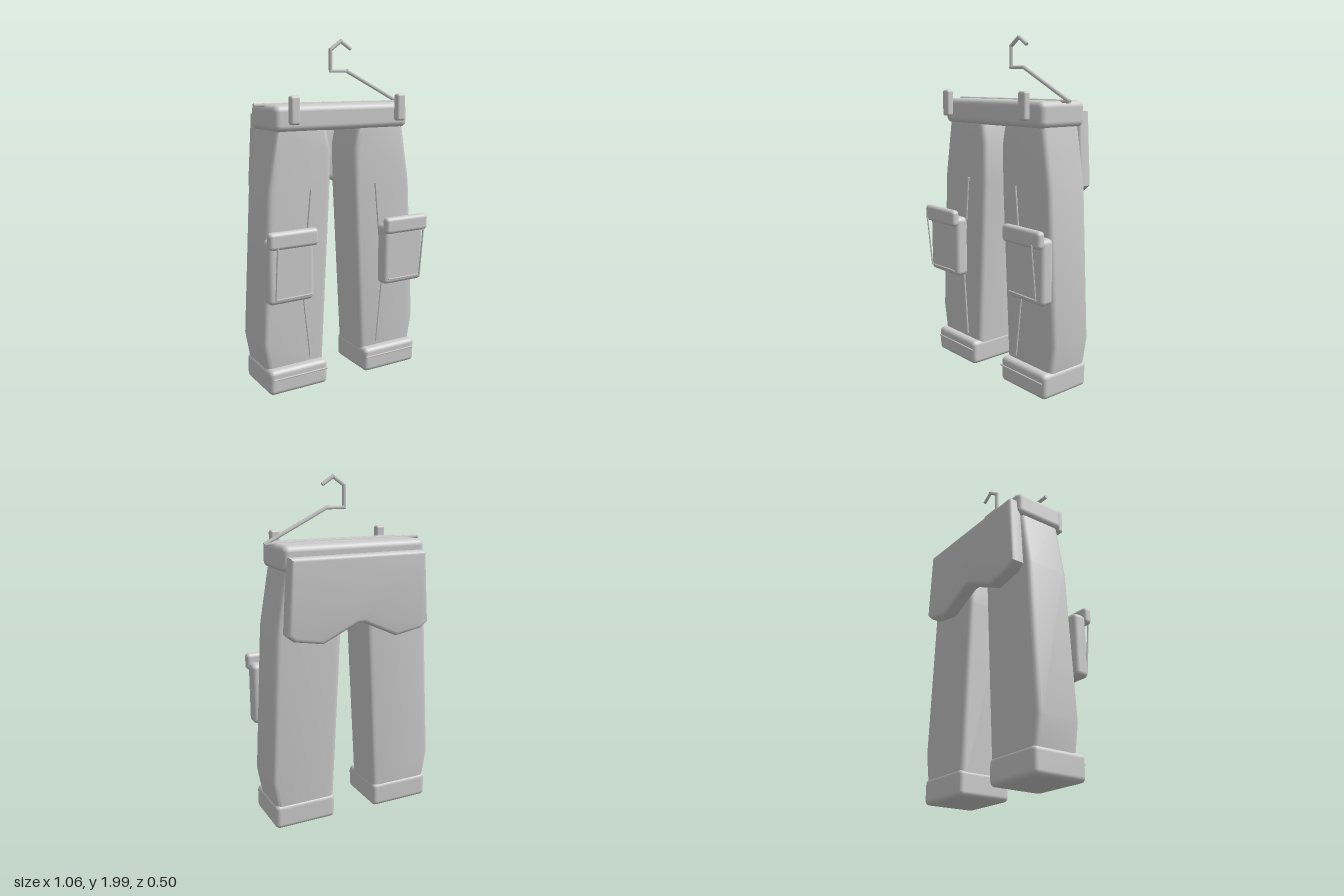
import * as THREE from 'three';
import { toCreasedNormals } from 'three/addons/utils/BufferGeometryUtils.js';
import { RoundedBoxGeometry } from 'three/addons/geometries/RoundedBoxGeometry.js';

const cloth = new THREE.MeshStandardMaterial({ color: 0xcccccc });
cloth.name = 'light grey cloth';

function add(parent, name, geometry) {
  const mesh = new THREE.Mesh(geometry, cloth);
  mesh.name = name;
  parent.add(mesh);
  return mesh;
}

// Rounded box given by its extents on each axis
function block(parent, name, [x0, x1], [y0, y1], [z0, z1], radius) {
  const g = new RoundedBoxGeometry(Math.abs(x1 - x0), y1 - y0, z1 - z0, 3, radius);
  g.translate((x0 + x1) / 2, (y0 + y1) / 2, (z0 + z1) / 2);
  return add(parent, name, g);
}

// Soft-edged slab cut from a front outline
function slab(parent, name, outline, [z0, z1], bevel) {
  const shape = new THREE.Shape(outline.map(([x, y]) => new THREE.Vector2(x, y)));
  const g = new THREE.ExtrudeGeometry(shape, {
    depth: z1 - z0 - 2 * bevel, bevelEnabled: true, bevelThickness: bevel,
    bevelSize: bevel, bevelOffset: -bevel, bevelSegments: 4,
  });
  g.translate(0, 0, z0 + bevel);
  return add(parent, name, toCreasedNormals(g, 0.6));
}

// Thin rods joined along a path
function rods(parent, name, points, radius, sides = 6) {
  const group = new THREE.Group();
  group.name = name;
  const pts = points.map((p) => new THREE.Vector3(...p));
  for (let i = 0; i + 1 < pts.length; i++) {
    const dir = pts[i + 1].clone().sub(pts[i]);
    const rod = add(group, name + 'Piece', new THREE.CylinderGeometry(radius, radius, dir.length() + radius, sides));
    rod.position.copy(pts[i]).add(pts[i + 1]).multiplyScalar(0.5);
    rod.quaternion.setFromUnitVectors(new THREE.Vector3(0, 1, 0), dir.normalize());
  }
  parent.add(group);
}

export function createModel() {
  const model = new THREE.Group();
  model.name = 'cargoTrousersOnHanger';

  block(model, 'waistband', [-0.437, 0.437], [1.495, 1.64], [-0.195, 0.132], 0.035);

  // Seat panel at the back, with a raised crotch
  const half = [[0.415, 1.58], [0.442, 1.165], [0.4, 1.13], [0.23, 1.1], [0.02, 1.197]];
  const mirrored = half.map(([x, y]) => [-x, y]).reverse();
  slab(model, 'seatPanel', [...half, ...mirrored], [-0.25, -0.16], 0.022);

  for (const s of [1, -1]) {
    const side = new THREE.Group();
    side.name = s > 0 ? 'leftSide' : 'rightSide';
    model.add(side);
    const mx = (pts) => pts.map(([x, ...rest]) => [s * x, ...rest]);

    // Leg and its turned-up cuff
    slab(side, 'leg', mx([
      [0.105, 1.53], [0.075, 1.39], [0.08, 1.15], [0.135, 0.1],
      [0.49, 0.1], [0.525, 0.3], [0.477, 1.17], [0.415, 1.53],
    ]), [-0.168, 0.112], 0.032);
    block(side, 'cuff', [s * 0.13, s * 0.505], [0.005, 0.153], [-0.175, 0.16], 0.028);

    // Cargo pocket with flap
    block(side, 'pocket', [s * 0.237, s * 0.522], [0.558, 0.925], [0.112, 0.2], 0.028);
    block(side, 'pocketFlap', [s * 0.227, s * 0.53], [0.877, 0.975], [0.183, 0.235], 0.022);

    // Belt loop standing proud of the waistband
    block(side, 'beltLoop', [s * 0.315, s * 0.372], [1.538, 1.692], [0.152, 0.197], 0.014);

    // Seams
    rods(side, 'legSeam', mx([[0.217, 1.17, 0.122], [0.275, 0.6, 0.122], [0.232, 0.185, 0.128]]), 0.006);
    rods(side, 'pocketSeam', mx([[0.487, 0.9, 0.245], [0.487, 0.594, 0.213], [0.265, 0.594, 0.208]]), 0.005);
    rods(side, 'cuffSeam', mx([[0.14, 0.102, 0.164], [0.485, 0.102, 0.164]]), 0.005);
  }

  // Wire hanger: bar, sloping arm and hook
  rods(model, 'hanger', [
    [-0.482, 1.637], [0.475, 1.637], [0.11, 1.82], [0, 1.82],
    [0, 1.94], [0.068, 1.988], [0.13, 1.948],
  ].map(([x, y]) => [x, y, -0.03]), 0.011);

  return model;
}
